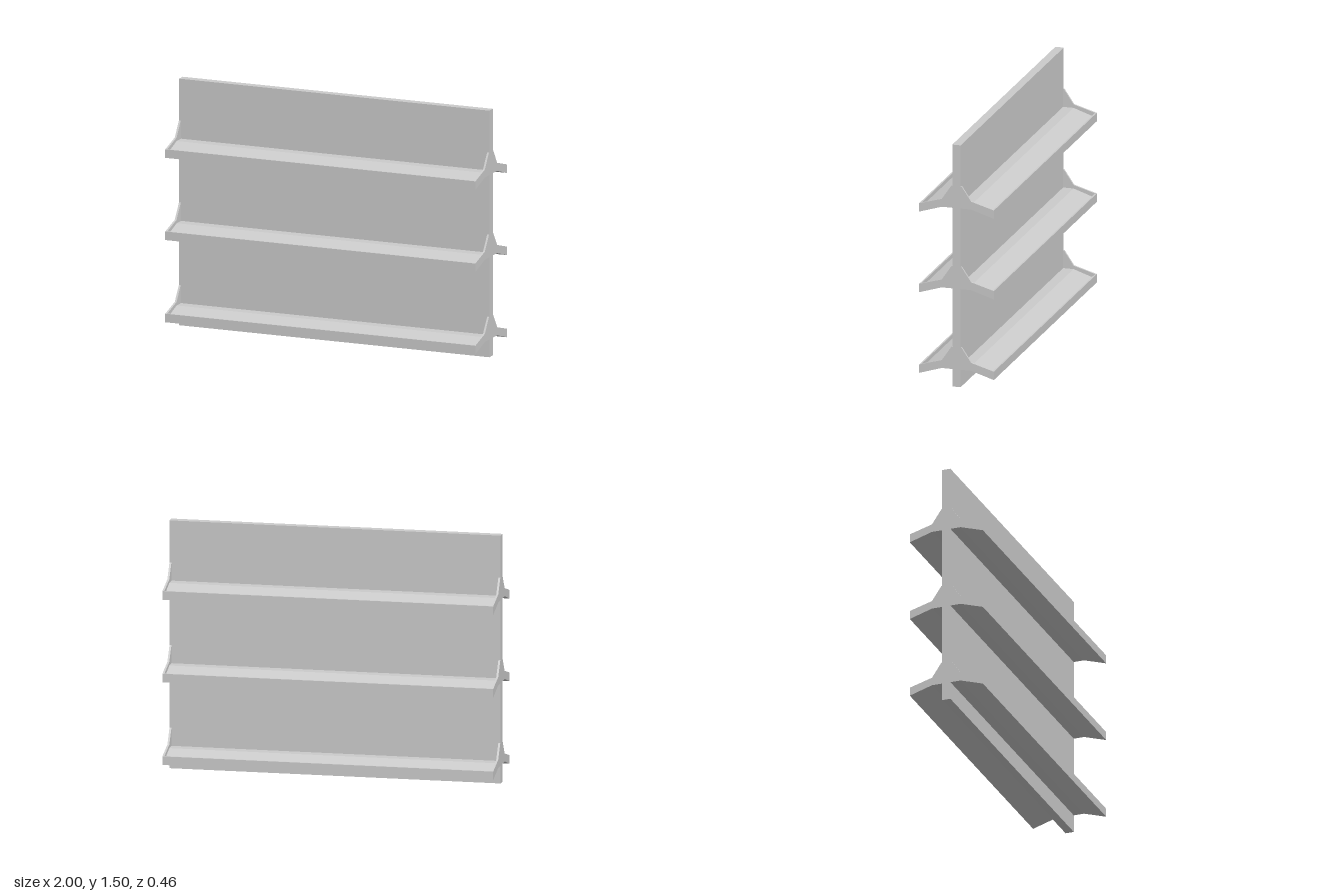
import * as THREE from 'three';

const material = new THREE.MeshStandardMaterial({ color: 0xcccccc, flatShading: true });

// Extrudes a (z, y) outline along x, centred at the given x
function extrudeAlongX(outline, width, centreX, name) {
  const shape = new THREE.Shape(outline.map(([z, y]) => new THREE.Vector2(-z, y)));
  const geometry = new THREE.ExtrudeGeometry(shape, { depth: width, bevelEnabled: false });
  geometry.translate(0, 0, -width / 2);
  geometry.rotateY(Math.PI / 2);
  geometry.translate(centreX, 0, 0);
  const mesh = new THREE.Mesh(geometry, material);
  mesh.name = name;
  return mesh;
}

const PANEL = 0.026; // half thickness of the upright panel
const TIP = 0.232;   // reach of each shelf
const END = 0.012;   // thickness of the end brackets

// Sloped tray with a low lip at its outer edge
const trayOutline = [
  [PANEL, 0.108], [0.091, 0.108], [TIP, 0.064], [TIP, 0.116],
  [TIP - 0.01, 0.116], [TIP - 0.01, 0.092], [0.091, 0.136], [PANEL, 0.136],
];

// Bracket closing each end of a tray
const bracketOutline = [
  [PANEL, 0.108], [0.091, 0.108], [TIP, 0.064], [TIP, 0.116],
  [0.091, 0.157], [0.031, 0.246], [PANEL, 0.246],
];

// One shelf, reaching towards +z
function createShelf(name) {
  const shelf = new THREE.Group();
  shelf.name = name;
  shelf.add(extrudeAlongX(trayOutline, 2 - 2 * END, 0, 'tray'));
  for (const side of [1, -1]) {
    const label = side > 0 ? 'leftBracket' : 'rightBracket';
    shelf.add(extrudeAlongX(bracketOutline, END, side * (1 - END / 2), label));
  }
  return shelf;
}

export function createModel() {
  const model = new THREE.Group();
  model.name = 'doubleSidedShelf';

  // Upright centre panel
  const panel = new THREE.Mesh(new THREE.BoxGeometry(2, 1.5, 2 * PANEL), material);
  panel.name = 'centrePanel';
  panel.position.y = 0.75;
  model.add(panel);

  // Three shelves on each face
  for (let level = 0; level < 3; level++) {
    const front = createShelf('frontShelf');
    const back = createShelf('backShelf');
    back.rotation.y = Math.PI;
    front.position.y = back.position.y = level * 0.5;
    model.add(front, back);
  }
  return model;
}
